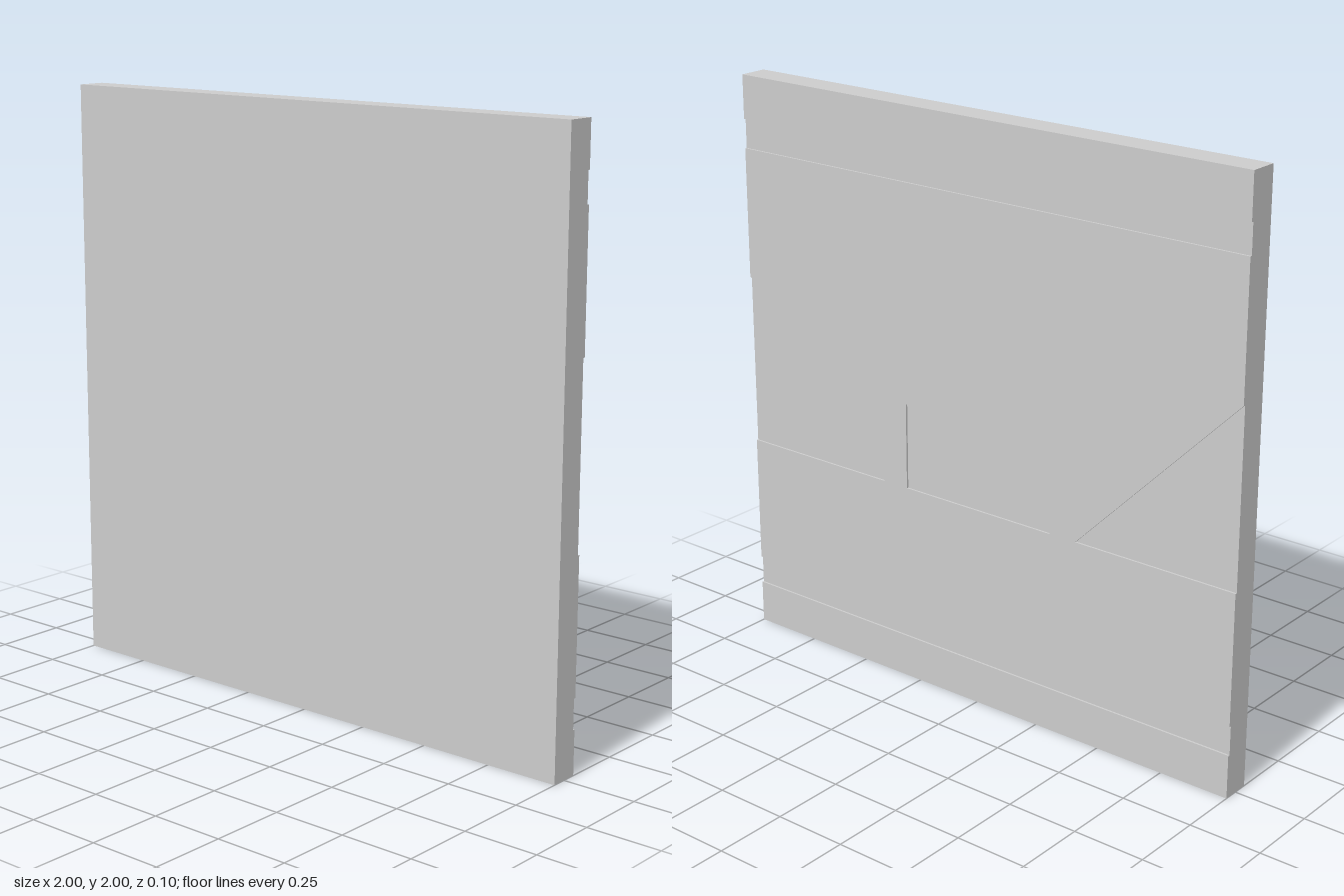
import * as THREE from 'three';

const SIZE = 2, THICK = 0.1, RECESS = 0.007;

// Closed 2D outline from a few corner points
const outline = (points, Type = THREE.Shape) =>
  new Type(points.map(([x, y]) => new THREE.Vector2(x, y)));

const band = (y0, y1) => outline([[-1, y0], [1, y0], [1, y1], [-1, y1]]);

export function createModel() {
  const group = new THREE.Group();
  const material = new THREE.MeshStandardMaterial({ color: 0xcccccc, flatShading: true });

  const add = (name, geometry, y, z) => {
    const mesh = new THREE.Mesh(geometry, material);
    mesh.name = name;
    mesh.position.set(0, y, z);
    group.add(mesh);
  };

  // Solid slab forming the front, the edges and the floors of the recesses
  const core = THICK - RECESS;
  add('panelCore', new THREE.BoxGeometry(SIZE, SIZE, core), SIZE / 2, RECESS / 2);

  // Middle field of the back, cut by a slanted wedge on each side
  const middle = outline([
    [-1, 0.25], [1, 0.25],
    [1, 0.7], [0.4, 0.7], [0.4, 1.043], [1, 1.3],
    [1, 1.75], [-1, 1.75],
    [-1, 1.3], [-0.4, 0.7], [-1, 0.7],
  ]);
  // Central wedge recess, tapering towards -x
  middle.holes.push(outline([[-0.3, 0.7], [-0.3, 0.743], [0.3, 1], [0.3, 0.7]], THREE.Path));

  // Raised back fields; the gaps between them are the two horizontal grooves
  const fields = {
    backBottomField: band(0, 0.15),
    backMiddleField: middle,
    backTopField: band(1.85, 2),
  };
  for (const [name, shape] of Object.entries(fields)) {
    const geometry = new THREE.ExtrudeGeometry(shape, { depth: RECESS, bevelEnabled: false });
    add(name, geometry, 0, -THICK / 2);
  }

  return group;
}
